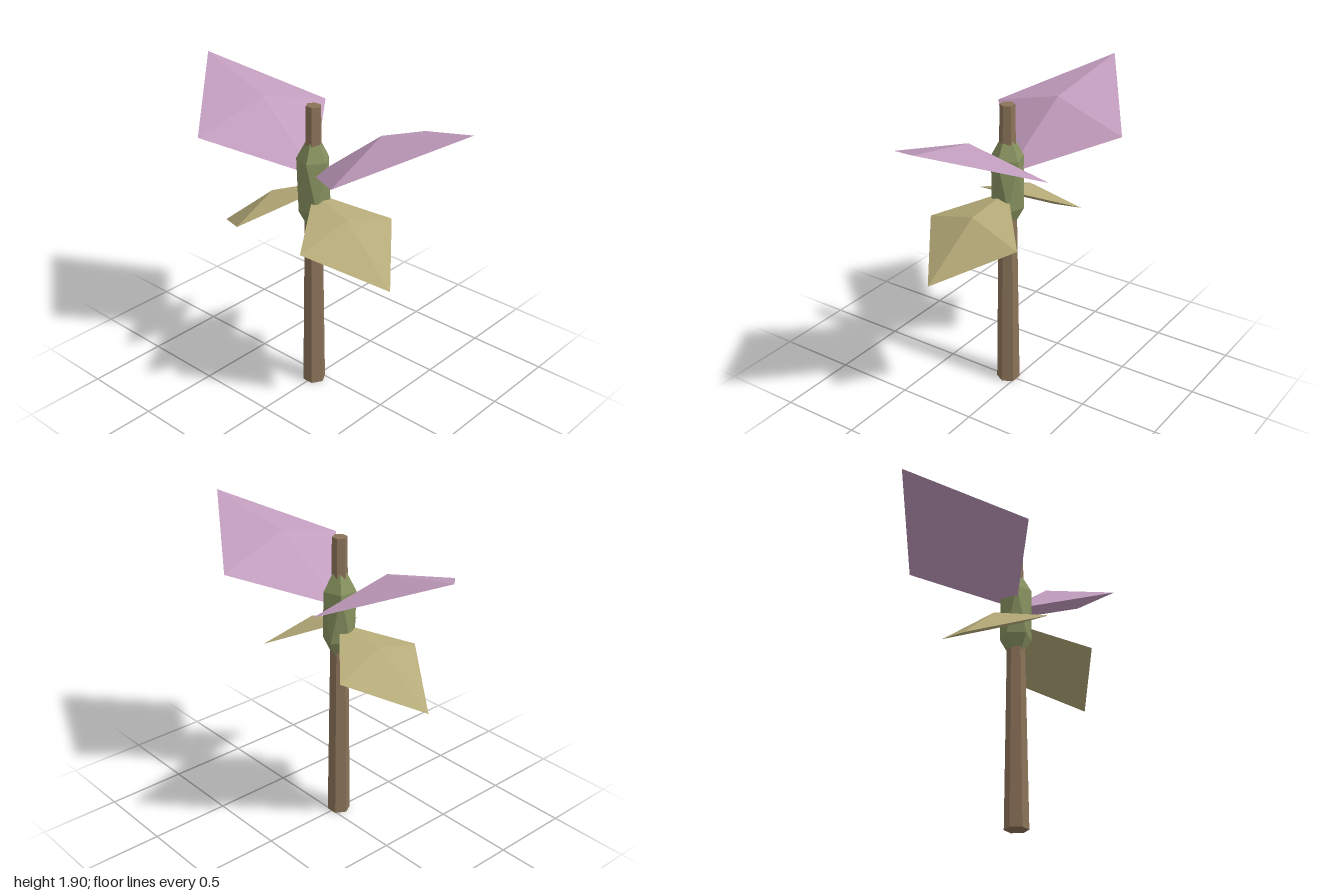
import * as THREE from 'three';

const AXIS_Z = 0.055; // the stem stands slightly forward of the centre

function makeMaterial(name, color) {
  const material = new THREE.MeshStandardMaterial({ color, flatShading: true });
  material.name = name;
  return material;
}

// Kite-shaped leaf: flat underside and a raised point where it is widest.
// side is +1 for the model's left, -1 for its right.
function leafGeometry({ rootY, tip, halfWidth, ridge }, side) {
  const root = new THREE.Vector3(0, rootY, AXIS_Z);
  const end = new THREE.Vector3(...tip);
  const middle = root.clone().lerp(end, 0.45);
  const run = end.clone().sub(root).setY(0).normalize();
  const across = new THREE.Vector3(-run.z, 0, run.x).multiplyScalar(halfWidth);
  const front = middle.clone().add(across);
  const back = middle.clone().sub(across);
  const apex = middle.clone().setY(middle.y + ridge);

  const points = [root, front, end, back, apex];
  const faces = [[0, 1, 4], [1, 2, 4], [2, 3, 4], [3, 0, 4], [0, 2, 1], [0, 3, 2]];
  const corners = faces.flatMap((face) =>
    (side > 0 ? face : [...face].reverse()).map((i) =>
      new THREE.Vector3(points[i].x * side, points[i].y, points[i].z)));
  const geometry = new THREE.BufferGeometry().setFromPoints(corners);
  geometry.computeVertexNormals();
  return geometry;
}

export function createModel() {
  const model = new THREE.Group();
  model.name = 'leafyStake';

  const bark = makeMaterial('bark brown', 0x8b7359);
  const moss = makeMaterial('moss green', 0x87915f);
  const mauve = makeMaterial('mauve', 0xc29dbe);
  const straw = makeMaterial('straw yellow', 0xb5aa78);

  const add = (name, geometry, material) => {
    const mesh = new THREE.Mesh(geometry, material);
    mesh.name = name;
    model.add(mesh);
    return mesh;
  };

  // Tapered six-sided stem with corners facing left and right
  const stem = add('stem',
    new THREE.CylinderGeometry(0.045, 0.072, 1.84, 6, 1, false, Math.PI / 6), bark);
  stem.position.set(0, 0.92, AXIS_Z);

  // Stretched icosahedron with one corner straight up
  const budGeometry = new THREE.IcosahedronGeometry(1, 0);
  budGeometry.rotateX(-Math.atan((1 + Math.sqrt(5)) / 2));
  budGeometry.rotateY(Math.PI / 2);
  budGeometry.scale(0.112, 0.348, 0.112);
  const bud = add('bud', budGeometry, moss);
  bud.position.set(0, 1.36, AXIS_Z);

  // Large raised leaves and small drooping leaves, mirrored
  const upper = { rootY: 1.41, tip: [0.995, 1.9, -0.07], halfWidth: 0.48, ridge: 0.135 };
  const lower = { rootY: 1.3, tip: [0.66, 0.935, 0.147], halfWidth: 0.346, ridge: 0.1 };
  for (const [side, label] of [[1, 'Left'], [-1, 'Right']]) {
    add(`upperLeaf${label}`, leafGeometry(upper, side), mauve);
    add(`lowerLeaf${label}`, leafGeometry(lower, side), straw);
  }

  return model;
}
